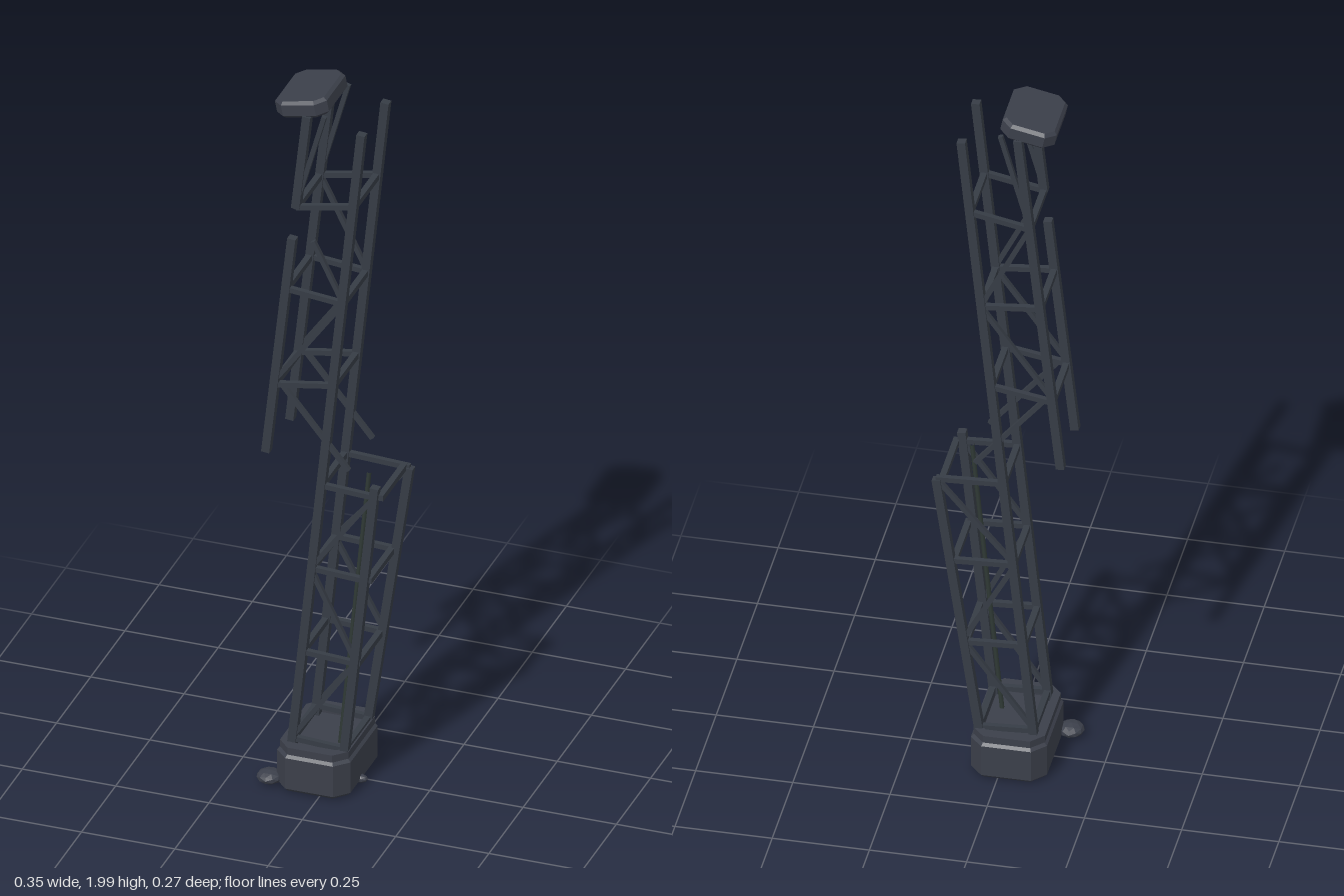
import * as THREE from 'three';

const frameMat = new THREE.MeshStandardMaterial({ color: 0x363c45 });
frameMat.name = 'dark steel';
const housingMat = new THREE.MeshStandardMaterial({ color: 0x3b3f4a });
housingMat.name = 'slate housing';
const cableMat = new THREE.MeshStandardMaterial({ color: 0x303a36 });
cableMat.name = 'cable';
frameMat.flatShading = housingMat.flatShading = true;

const Z = 0.088; // half depth of the lattice
const v = (x, y, z) => new THREE.Vector3(x, y, z);

// Square bar between two points
function bar(name, a, b, size, mat = frameMat) {
  const dir = b.clone().sub(a);
  const mesh = new THREE.Mesh(new THREE.BoxGeometry(size, dir.length(), size), mat);
  const yAxis = dir.clone().normalize();
  const ref = Math.abs(yAxis.z) > 0.9 ? v(1, 0, 0) : v(0, 0, 1);
  const xAxis = yAxis.clone().cross(ref).normalize();
  const zAxis = xAxis.clone().cross(yAxis);
  mesh.quaternion.setFromRotationMatrix(new THREE.Matrix4().makeBasis(xAxis, yAxis, zAxis));
  mesh.position.copy(a).add(b).multiplyScalar(0.5);
  mesh.name = name;
  return mesh;
}

// Octagon outline with cut corners
function octagon(w, d, cx, cz, Type = THREE.Shape) {
  const pts = [[w - cx, -d], [w, -d + cz], [w, d - cz], [w - cx, d],
    [-w + cx, d], [-w, d - cz], [-w, -d + cz], [-w + cx, -d]];
  return new Type(pts.map(([x, y]) => new THREE.Vector2(x, y)));
}

// Bevelled slab standing on y = 0
function slab(name, shape, height, bevel) {
  const geo = new THREE.ExtrudeGeometry(shape, {
    depth: height - 2 * bevel, bevelEnabled: bevel > 0, bevelThickness: bevel,
    bevelSize: bevel, bevelOffset: -bevel, bevelSegments: 1,
  });
  geo.translate(0, 0, bevel).rotateX(-Math.PI / 2);
  const mesh = new THREE.Mesh(geo, housingMat);
  mesh.name = name;
  return mesh;
}

function chunk(name, x, y, z, rx, ry, rz) {
  const mesh = new THREE.Mesh(new THREE.IcosahedronGeometry(1, 1), housingMat);
  mesh.scale.set(rx, ry, rz);
  mesh.position.set(x, y, z);
  mesh.name = name;
  return mesh;
}

export function createModel() {
  const model = new THREE.Group();
  model.name = 'brokenLatticeTower';

  // Base with a raised open rim
  const base = new THREE.Group();
  base.name = 'base';
  base.position.set(-0.024, 0.01, 0);
  base.add(slab('baseBody', octagon(0.098, 0.136, 0.034, 0.036), 0.108, 0.01));
  const rimShape = octagon(0.092, 0.13, 0.032, 0.034);
  rimShape.holes.push(octagon(0.072, 0.1, 0.012, 0.012, THREE.Path));
  const rim = slab('baseRim', rimShape, 0.02, 0);
  rim.position.y = 0.106;
  base.add(rim);
  model.add(base);

  // Debris at the foot
  model.add(chunk('leftDebris', -0.142, 0.028, 0.1, 0.034, 0.018, 0.034));
  model.add(chunk('rightDebris', 0.066, 0.02, 0.02, 0.026, 0.012, 0.014));

  // Main leaning posts and the shorter broken ones
  const mainX = (y) => -0.085 + 0.1035 * (y - 0.135);
  const upperX = (y) => -0.155 + 0.111 * (y - 0.96);
  const lowerX = (y, z) => 0.055 + (z < 0 ? 0.147 : 0.105) * (y - 0.135);
  const posts = new THREE.Group();
  posts.name = 'posts';
  const post = (name, fx, y0, y1, z) =>
    posts.add(bar(name, v(fx(y0, z), y0, z), v(fx(y1, z), y1, z), 0.022));
  for (const z of [-Z, Z]) {
    post('mainPost', mainX, 0.12, 1.925, z);
    post('lowerBrokenPost', lowerX, 0.12, z < 0 ? 0.88 : 0.91, z);
  }
  post('upperBackPost', upperX, 0.96, 1.95, -Z);
  post('upperFrontPostLower', upperX, 0.96, 1.59, Z);
  post('upperFrontPostUpper', upperX, 1.68, 1.95, Z);
  model.add(posts);

  // Horizontal frames: side rungs and cross rungs
  const rungs = new THREE.Group();
  rungs.name = 'rungs';
  const frame = (xa, ya, xb, yb) => {
    for (const z of [-Z, Z]) rungs.add(bar('sideRung', v(xa, ya, z), v(xb(z), yb, z), 0.014));
    for (const [x, y] of [[xa, ya], [(xb(Z) + xb(-Z)) / 2, yb]])
      rungs.add(bar('crossRung', v(x, y, -Z), v(x, y, Z), 0.016));
  };
  for (const y of [0.14, 0.395, 0.64, 0.885])
    frame(mainX(y), y + 0.004, (z) => lowerX(y, z), y - 0.004);
  for (const [ya, yb] of [[1.157, 1.183], [1.44, 1.425], [1.68, 1.71]])
    frame(upperX(ya), ya, () => mainX(yb), yb);
  model.add(rungs);

  // Zigzag braces, some snapped off
  const braces = new THREE.Group();
  braces.name = 'braces';
  for (const z of [-Z, Z]) {
    const snapped = z > 0;
    const lines = [
      [mainX(0.15), 0.15, lowerX(0.39, z), 0.39],
      [lowerX(0.4, z), 0.4, mainX(0.635), 0.635],
      [mainX(0.65), 0.65, lowerX(0.88, z), 0.88],
      [upperX(1.16) + 0.02, 1.16, 0.065, 0.945],
      [upperX(1.17), 1.17, mainX(1.42), 1.42],
      [mainX(1.43), 1.43, snapped ? -0.03 : upperX(1.68), snapped ? 1.59 : 1.68],
      [upperX(1.69), 1.69, 0.0, 1.955],
    ];
    for (const [xa, ya, xb, yb] of lines)
      braces.add(bar('brace', v(xa, ya, z), v(xb, yb, z), 0.012));
  }
  model.add(braces);

  // Loose cable rising from the base
  const cablePath = new THREE.LineCurve3(v(0.02, 0.11, 0.028), v(0.098, 0.915, 0.028));
  const cable = new THREE.Mesh(new THREE.TubeGeometry(cablePath, 1, 0.006, 6), cableMat);
  cable.name = 'cable';
  model.add(cable);

  // Tilted cap
  const cap = slab('cap', octagon(0.071, 0.094, 0.026, 0.026), 0.046, 0.008);
  cap.position.set(-0.063, 1.94, 0);
  cap.rotation.z = 0.2;
  model.add(cap);

  return model;
}
